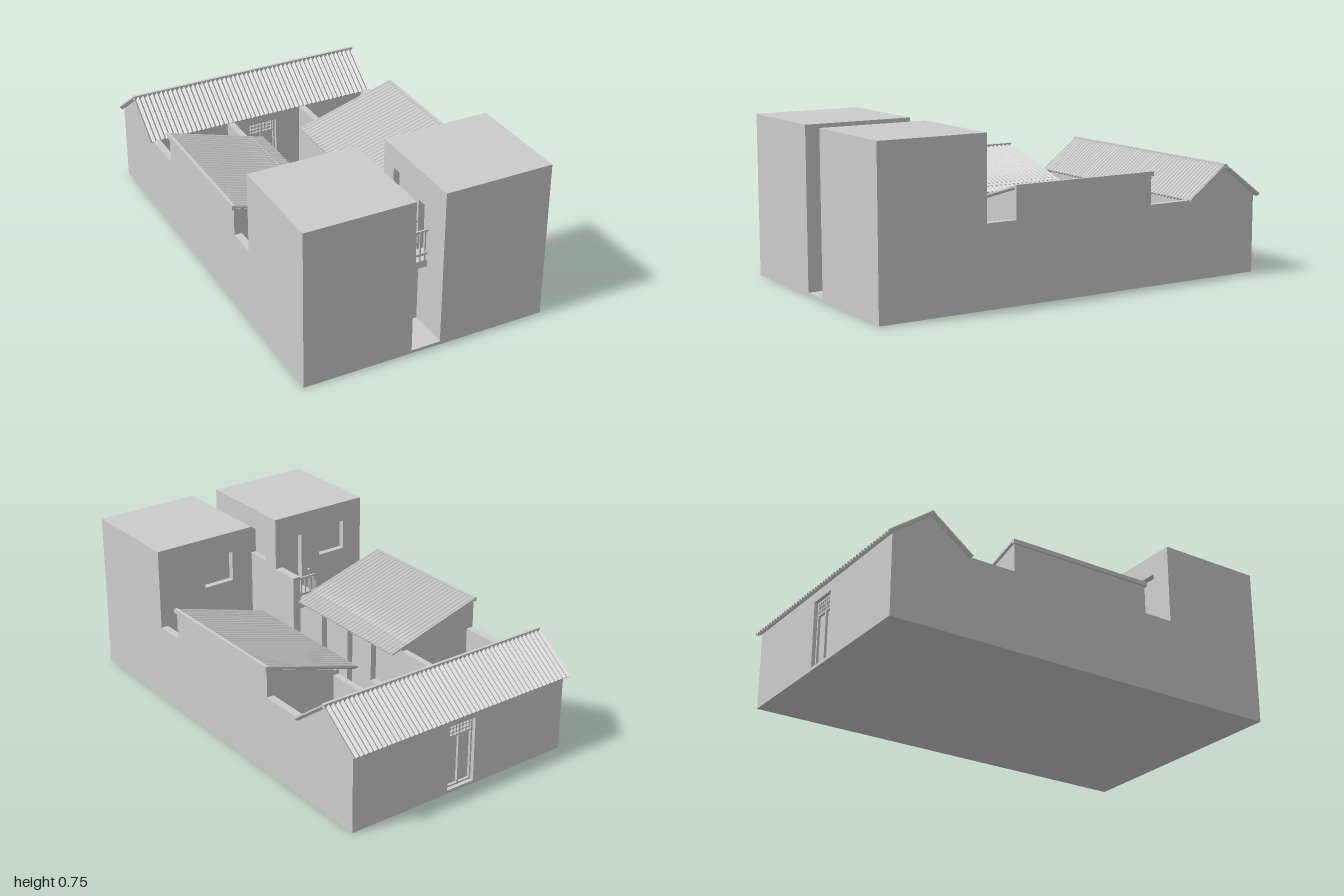
import * as THREE from 'three';

const plaster = new THREE.MeshStandardMaterial({ color: 0xcccccc });
plaster.name = 'plaster grey';

const T = 0.03; // depth of door and window recesses

function box(parent, name, x0, x1, y0, y1, z0, z1) {
  const m = new THREE.Mesh(new THREE.BoxGeometry(x1 - x0, y1 - y0, z1 - z0), plaster);
  m.position.set((x0 + x1) / 2, (y0 + y1) / 2, (z0 + z1) / 2);
  m.name = name;
  parent.add(m);
  return m;
}

// Extruded outline with rectangular holes [u0, u1, y0, y1]
function extrude(parent, name, pts, depth, holes = []) {
  const shape = new THREE.Shape(pts.map(p => new THREE.Vector2(p[0], p[1])));
  for (const [a, b, c, d] of holes) {
    shape.holes.push(new THREE.Path([[a, c], [a, d], [b, d], [b, c]].map(p => new THREE.Vector2(p[0], p[1]))));
  }
  const m = new THREE.Mesh(new THREE.ExtrudeGeometry(shape, { depth, bevelEnabled: false }), plaster);
  m.name = name;
  parent.add(m);
  return m;
}

const rect = (a, b, c, d) => [[a, c], [b, c], [b, d], [a, d]];

// Wall facing z, starting at z0
function wallZ(parent, name, x0, x1, h, z0, holes) {
  extrude(parent, name, rect(x0, x1, 0, h), T, holes).position.z = z0;
}

// Outline in (z, y), extruded towards -x from xMax
function prismX(parent, name, pts, depth, xMax, holes) {
  const m = extrude(parent, name, pts, depth, holes);
  m.rotation.y = -Math.PI / 2;
  m.position.x = xMax;
}

// Corrugated tile slope: ridge at the origin, falling towards local +z
function tileSlope(parent, name, width, run, drop, turn, x, y, z) {
  const pitch = 0.024, per = 6, n = Math.round(width / pitch) * per;
  const top = [], under = [];
  for (let i = 0; i <= n; i++) {
    const u = -width / 2 + width * i / n;
    const w = 0.005 * Math.cos(i / per * Math.PI * 2);
    top.push([u, w + 0.004]);
    under.push([u, w - 0.004]);
  }
  const g = new THREE.Group();
  g.name = name;
  const m = extrude(g, name + 'Tiles', under.concat(top.reverse()), Math.hypot(run, drop));
  m.rotation.x = Math.atan2(drop, run);
  g.rotation.y = turn;
  g.position.set(x, y, z);
  parent.add(g);
}

// Two-storey front block: side +1 or -1
function tower(parent, side) {
  const g = new THREE.Group();
  g.name = side > 0 ? 'leftTower' : 'rightTower';
  parent.add(g);
  const span = (a, b) => side > 0 ? [a, b] : [-b, -a];
  const H = 0.755;
  box(g, 'towerCore', ...span(0.07 + T, 0.585), 0, H, 0.485 + T, 1);
  const rear = side > 0
    ? [[0.18, 0.335, 0.51, 0.655]]
    : [[-0.48, -0.33, 0.51, 0.655], [-0.225, -0.13, 0.375, 0.645]];
  wallZ(g, 'towerRearWall', ...span(0.07, 0.585), H, 0.485, rear);
  prismX(g, 'towerPassageWall', rect(0.485, 1, 0, H), T, side > 0 ? 0.07 + T : -0.07,
    [[0.57, 0.70, 0.515, 0.655], [0.785, 0.865, 0.362, 0.61]]);
}

// Courtyard wing with a single roof slope falling inwards
function wing(parent, side, inner) {
  const g = new THREE.Group();
  g.name = side > 0 ? 'leftWing' : 'rightWing';
  parent.add(g);
  const z0 = -0.375, z1 = 0.34;
  const pts = [[inner + T, 0], [0.585, 0], [0.585, 0.505], [inner + T, 0.40]].map(p => [p[0] * side, p[1]]);
  extrude(g, 'wingBody', pts, z1 - z0).position.z = z0;
  const holes = [[-0.27, -0.15, 0.13, 0.33], [-0.07, 0.03, 0.02, 0.33], [0.11, 0.23, 0.13, 0.33]];
  const xMax = side > 0 ? inner + T : -inner;
  prismX(g, 'wingCourtWall', rect(z0, z1, 0, 0.393), T, xMax, holes);
  prismX(g, 'yardWall', rect(-0.605, z0, 0, 0.37), T, xMax);
  tileSlope(g, 'wingRoof', 0.73, 0.492, 0.145, -side * Math.PI / 2, side * 0.592, 0.515, -0.018);
  const cap = side > 0 ? [0.58, 0.595] : [-0.595, -0.58];
  box(g, 'wingRidge', ...cap, 0.505, 0.525, -0.383, 0.347);
}

// Door pair with a lattice above, thin relief on a recessed face
function latticeDoor(parent, name, z) {
  const g = new THREE.Group();
  g.name = name;
  const d = 0.007;
  for (const x of [-0.069, 0, 0.069]) box(g, 'doorStile', x - 0.004, x + 0.004, 0.015, 0.325, z - d, z + d);
  for (const y of [0.02, 0.262, 0.321]) box(g, 'doorRail', -0.073, 0.073, y - 0.004, y + 0.004, z - d, z + d);
  for (const y of [0.282, 0.301]) box(g, 'latticeRail', -0.073, 0.073, y - 0.002, y + 0.002, z - d, z + d);
  for (let i = 1; i < 8; i++) {
    const x = -0.073 + 0.146 * i / 8;
    box(g, 'latticeBar', x - 0.002, x + 0.002, 0.262, 0.321, z - d, z + d);
  }
  parent.add(g);
}

function railing(parent, x0, x1, y0, y1, z) {
  box(parent, 'topRail', x0, x1, y1 - 0.01, y1, z - 0.004, z + 0.004);
  box(parent, 'bottomRail', x0, x1, y0 + 0.025, y0 + 0.037, z - 0.004, z + 0.004);
  const n = Math.round((x1 - x0) / 0.023);
  for (let i = 0; i < n; i++) {
    const x = x0 + (x1 - x0) * (i + 0.5) / n;
    box(parent, 'baluster', x - 0.003, x + 0.003, y0, y1 - 0.01, z - 0.003, z + 0.003);
  }
}

export function createModel() {
  const model = new THREE.Group();
  model.name = 'courtyardHouse';
  box(model, 'baseSlab', -0.585, 0.585, 0, 0.015, -0.975, 1);

  // Perimeter walls
  for (const s of [1, -1]) {
    const [a, b] = s > 0 ? [0.55, 0.585] : [-0.585, -0.55];
    box(model, 'perimeterWall', a, b, 0, 0.373, -0.605, 0.49);
  }

  tower(model, 1);
  tower(model, -1);
  wing(model, 1, 0.20);
  wing(model, -1, 0.16);

  // Gate and footbridge between the towers
  const bridge = new THREE.Group();
  bridge.name = 'footbridge';
  model.add(bridge);
  box(bridge, 'bridgeDeck', -0.07, 0.07, 0.325, 0.36, 0.78, 0.87);
  box(bridge, 'gatePanel', -0.07, 0.07, 0, 0.325, 0.782, 0.80);
  for (const z of [0.784, 0.866]) railing(bridge, -0.07, 0.07, 0.36, 0.51, z);

  // Stairs to the upper door, with landing and parapet
  const stairs = new THREE.Group();
  stairs.name = 'stairs';
  model.add(stairs);
  const steps = 8, run = 0.22 / steps, rise = 0.355 / steps;
  for (let i = 0; i < steps; i++) {
    const x = -0.43 + i * run, y = 0.015 + (i + 1) * rise;
    box(stairs, 'step', x, x + run, 0, y, 0.405, 0.485);
    box(stairs, 'stairBaluster', x + run / 2 - 0.003, x + run / 2 + 0.003, y - rise, y + 0.10, 0.405, 0.411);
  }
  const rail = box(stairs, 'handrail', -0.16, 0.16, -0.005, 0.005, -0.005, 0.005);
  rail.scale.x = Math.hypot(0.22, 0.355) / 0.32;
  rail.position.set(-0.32, 0.315, 0.408);
  rail.rotation.z = Math.atan2(0.355, 0.22);
  box(stairs, 'landing', -0.21, -0.10, 0.33, 0.37, 0.345, 0.485);
  railing(stairs, -0.21, -0.11, 0.37, 0.49, 0.35);
  box(stairs, 'parapetWall', -0.11, -0.07, 0, 0.5, 0.34, 0.486);

  // Rear hall
  const hall = new THREE.Group();
  hall.name = 'rearHall';
  model.add(hall);
  const door = [[-0.073, 0.073, 0.015, 0.325]];
  prismX(hall, 'hallBody', [[-0.945, 0], [-0.635, 0], [-0.635, 0.39], [-0.79, 0.505], [-0.945, 0.39]], 1.1, 0.55);
  wallZ(hall, 'hallBackWall', -0.585, 0.585, 0.37, -0.975, door);
  wallZ(hall, 'hallFrontWall', -0.585, 0.585, 0.37, -0.635, door);
  const gable = [[-0.975, 0], [-0.605, 0], [-0.605, 0.37], [-0.79, 0.508], [-0.975, 0.37]];
  for (const x of [0.585, -0.55]) prismX(hall, 'gableWall', gable, 0.035, x);
  latticeDoor(hall, 'backDoor', -0.95);
  latticeDoor(hall, 'courtDoor', -0.63);
  tileSlope(hall, 'hallFrontRoof', 1.2, 0.197, 0.147, 0, 0, 0.516, -0.793);
  tileSlope(hall, 'hallBackRoof', 1.2, 0.204, 0.15, Math.PI, 0, 0.516, -0.793);
  box(hall, 'hallRidge', -0.6, 0.6, 0.508, 0.527, -0.80, -0.786);

  return model;
}
